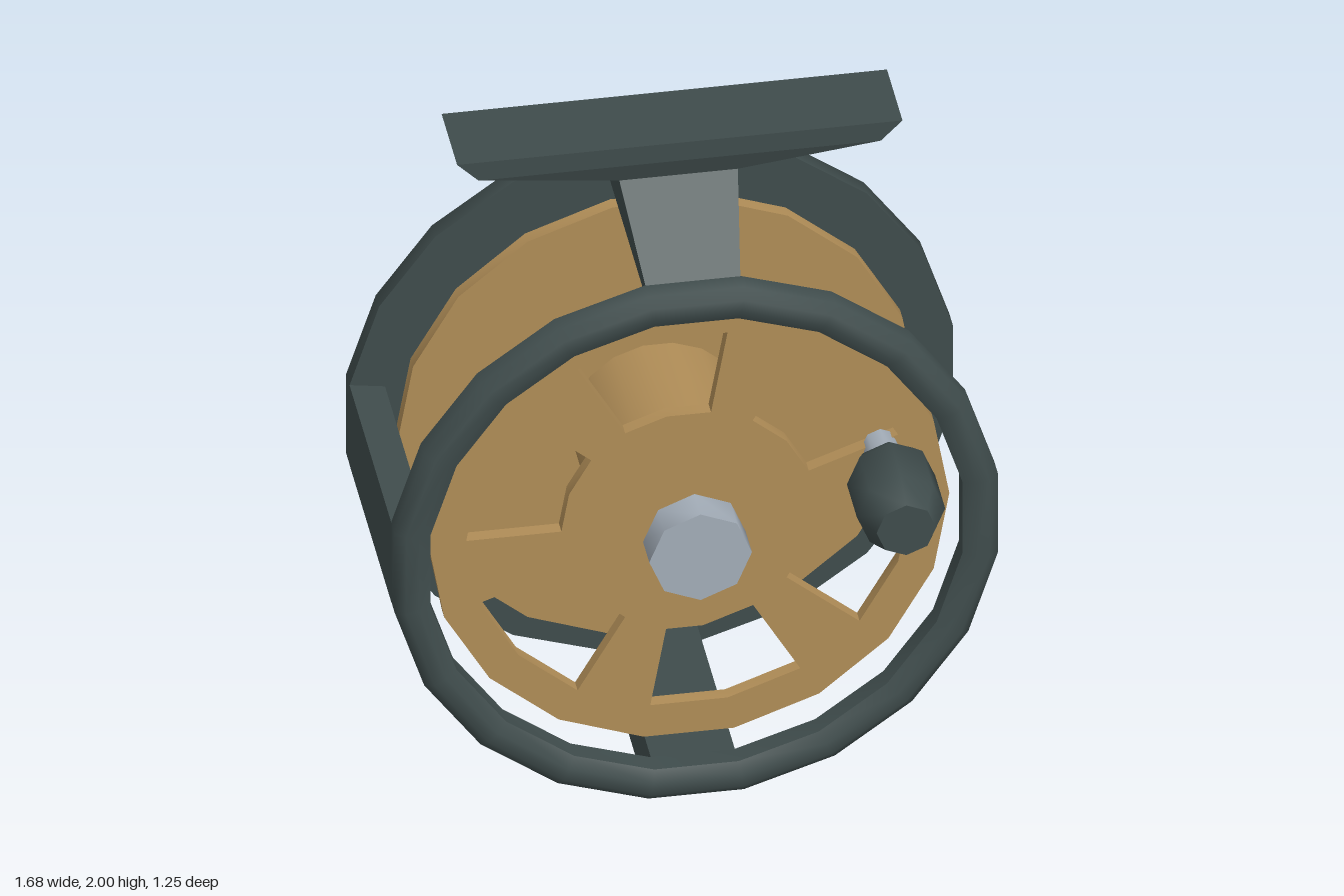
import * as THREE from 'three';
import { toCreasedNormals } from 'three/addons/utils/BufferGeometryUtils.js';

const CENTER_Y = 0.842; // height of the reel axis
const MID_Z = -0.042;   // middle of the frame

function material(name, color) {
  const m = new THREE.MeshStandardMaterial({ color });
  m.name = name;
  return m;
}

// Turned part along z: points are [radius, z], counterclockwise in section
function turned(points, sides, phase = Math.PI / 2) {
  const g = new THREE.LatheGeometry(points.map(([r, z]) => new THREE.Vector2(r, z)), sides, phase);
  g.rotateX(Math.PI / 2);
  return toCreasedNormals(g, 0.9);
}

function rod(radius, z0, z1, sides) {
  return turned([[0, z0], [radius, z0], [radius, z1], [0, z1]], sides);
}

// Block through stacked rectangles: [y, halfWidth, halfDepth], centred on MID_Z
function stackedBlock(levels) {
  const pos = [], idx = [];
  for (const [y, w, d] of levels) {
    for (const [sx, sz] of [[-1, 1], [1, 1], [1, -1], [-1, -1]]) pos.push(sx * w, y, MID_Z + sz * d);
  }
  for (let l = 0; l < levels.length - 1; l++) {
    for (let i = 0; i < 4; i++) {
      const a = l * 4 + i, b = l * 4 + (i + 1) % 4;
      idx.push(a, b, b + 4, a, b + 4, a + 4);
    }
  }
  const t = (levels.length - 1) * 4;
  idx.push(0, 2, 1, 0, 3, 2, t, t + 1, t + 2, t, t + 2, t + 3);
  const g = new THREE.BufferGeometry();
  g.setAttribute('position', new THREE.Float32BufferAttribute(pos, 3));
  g.setIndex(idx);
  const flat = g.toNonIndexed();
  flat.computeVertexNormals();
  return flat;
}

const polar = (r, degrees) => {
  const a = THREE.MathUtils.degToRad(degrees);
  return new THREE.Vector2(r * Math.cos(a), r * Math.sin(a));
};

// Spool side disc, optionally with six windows
function flange(z, windows) {
  const outline = [];
  for (let i = 0; i < 18; i++) outline.push(polar(0.725, i * 20));
  const shape = new THREE.Shape(outline);
  for (let k = 0; windows && k < 6; k++) {
    const a = 20 + k * 60;
    shape.holes.push(new THREE.Path([
      polar(0.62, a), polar(0.62, a + 20), polar(0.62, a + 40),
      polar(0.355, a + 40), polar(0.355, a + 20), polar(0.355, a),
    ]));
  }
  const g = new THREE.ExtrudeGeometry(shape, { depth: 0.04, bevelEnabled: false });
  g.translate(0, 0, z);
  return toCreasedNormals(g, 0.5);
}

export function createModel() {
  const dark = material('dark green grey metal', 0x3f4c4c);
  const brass = material('brass', 0xb08d57);
  const steel = material('steel', 0xa3adb8);

  const model = new THREE.Group();
  model.name = 'fishingReel';
  const reel = new THREE.Group();
  reel.name = 'reelBody';
  reel.position.y = CENTER_Y;
  model.add(reel);

  const add = (parent, name, geometry, mat) => {
    const mesh = new THREE.Mesh(geometry, mat);
    mesh.name = name;
    parent.add(mesh);
    return mesh;
  };

  // Frame: open front ring and closed back plate
  add(reel, 'frontRing', turned([
    [0.75, 0.29], [0.85, 0.29], [0.85, 0.345], [0.822, 0.37],
    [0.785, 0.37], [0.75, 0.35], [0.75, 0.29],
  ], 20, Math.PI / 20), dark);
  add(reel, 'backPlate', turned([
    [0, -0.455], [0.822, -0.455], [0.85, -0.43], [0.85, -0.375], [0, -0.375],
  ], 20, Math.PI / 20), dark);

  // Pillars joining ring and plate, at the bottom and on one side
  const pillar = stackedBlock([[-0.84, 0.133, 0.335], [-0.741, 0.117, 0.335]]);
  add(reel, 'bottomPillar', pillar, dark);
  add(reel, 'sidePillar', pillar, dark).rotation.z = -Math.PI / 2;

  // Mounting foot and the leg under it
  add(model, 'footLeg', stackedBlock([
    [1.583, 0.117, 0.335], [1.68, 0.132, 0.335], [1.88, 0.165, 0.105],
  ]), dark);
  add(model, 'foot', stackedBlock([
    [1.88, 0.165, 0.105], [1.94, 0.56, 0.124], [2.0, 0.62, 0.124],
  ]), dark);

  // Spool
  const spool = new THREE.Group();
  spool.name = 'spool';
  reel.add(spool);
  add(spool, 'frontFlange', flange(0.188, true), brass);
  add(spool, 'backFlange', flange(-0.31, false), brass);
  add(spool, 'drum', rod(0.245, -0.28, 0.2, 18), brass);

  // Axle with front cap and rear washer
  add(reel, 'axle', rod(0.065, -0.48, 0.33, 8), steel);
  add(reel, 'axleCap', rod(0.143, 0.315, 0.415, 8), steel);
  add(reel, 'rearWasher', rod(0.145, -0.485, -0.45, 8), steel);

  // Drag knob on the back
  add(reel, 'dragKnob', turned([
    [0, -0.625], [0.18, -0.625], [0.226, -0.57], [0.208, -0.48], [0, -0.48],
  ], 10), dark);

  // Winding handle
  const handle = new THREE.Group();
  handle.name = 'windingHandle';
  handle.position.set(0.537, 0.167, 0);
  reel.add(handle);
  add(handle, 'handlePin', rod(0.05, 0.2, 0.36, 8), steel);
  add(handle, 'handleKnob', turned([
    [0, 0.335], [0.1, 0.335], [0.123, 0.375], [0.123, 0.535], [0.083, 0.62], [0, 0.62],
  ], 8), dark);

  return model;
}
